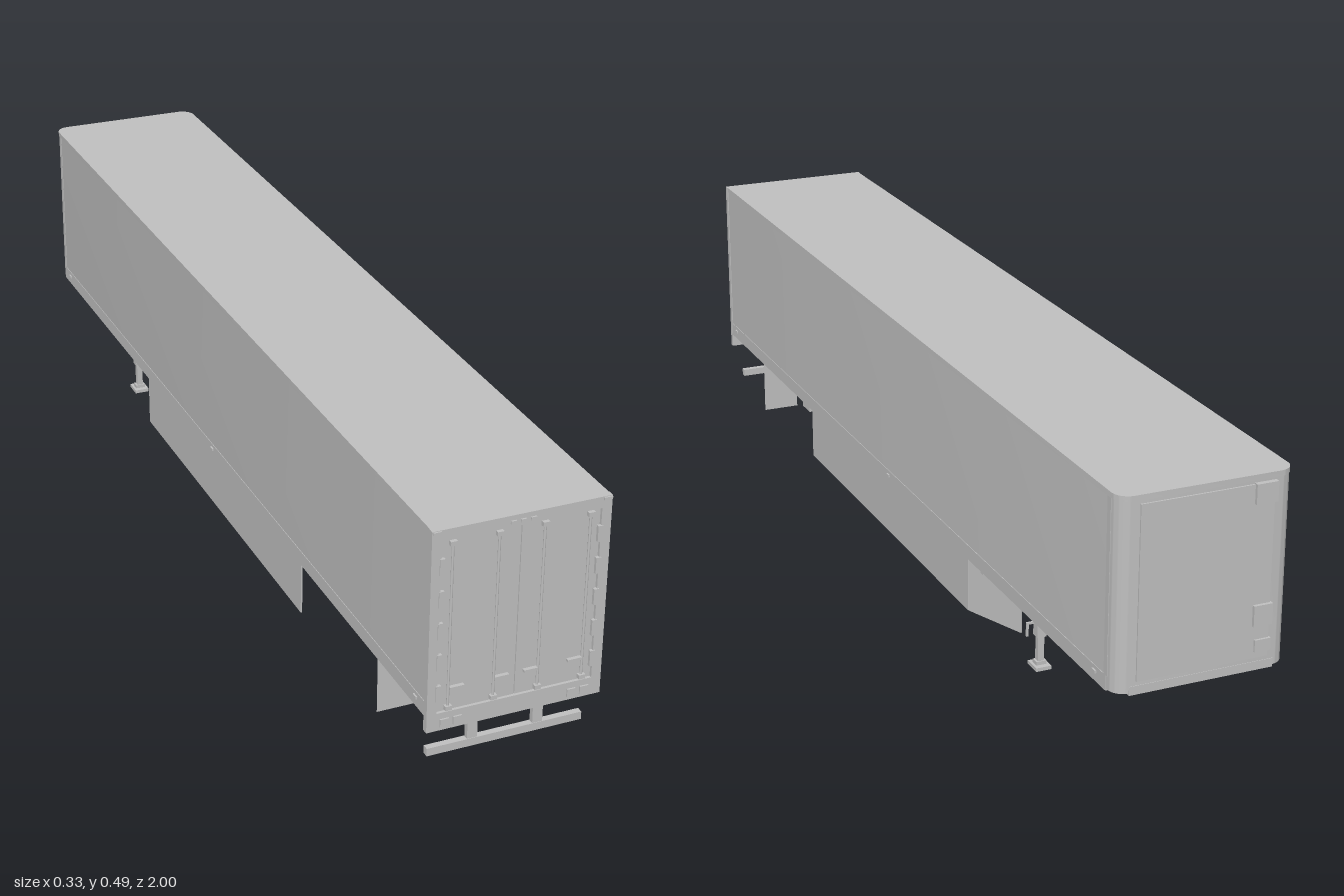
import * as THREE from 'three';
import { toCreasedNormals } from 'three/addons/utils/BufferGeometryUtils.js';

const grey = new THREE.MeshStandardMaterial({ color: 0xc0c0c0 });
grey.name = 'grey';
const sheet = new THREE.MeshStandardMaterial({ color: 0xc0c0c0, side: THREE.DoubleSide });
sheet.name = 'grey sheet';

export function createModel() {
  const model = new THREE.Group();
  model.name = 'boxTrailer';

  const add = (name, geometry, material = grey) => {
    const mesh = new THREE.Mesh(geometry, material);
    mesh.name = name;
    model.add(mesh);
    return mesh;
  };
  // Box given by its limits on each axis
  const box = (name, x0, x1, y0, y1, z0, z1) => {
    const mesh = add(name, new THREE.BoxGeometry(x1 - x0, y1 - y0, z1 - z0));
    mesh.position.set((x0 + x1) / 2, (y0 + y1) / 2, (z0 + z1) / 2);
    return mesh;
  };
  // The same box on both sides
  const pair = (name, x0, x1, ...rest) => {
    box(name + 'Left', x0, x1, ...rest);
    box(name + 'Right', -x1, -x0, ...rest);
  };
  const cylinder = (name, r, h, x, y, z, sides = 12) => {
    const mesh = add(name, new THREE.CylinderGeometry(r, r, h, sides));
    mesh.position.set(x, y, z);
    return mesh;
  };

  // Plan outline with rounded corners at the -z end, extruded upwards
  const slab = (name, w, y0, y1, zRear, zNose, r) => {
    const s = new THREE.Shape();
    s.moveTo(-w, -zRear);
    s.lineTo(w, -zRear);
    s.lineTo(w, -zNose - r);
    s.absarc(w - r, -zNose - r, r, 0, Math.PI / 2, false);
    s.lineTo(-w + r, -zNose);
    s.absarc(-w + r, -zNose - r, r, Math.PI / 2, Math.PI, false);
    const g = new THREE.ExtrudeGeometry(s, { depth: y1 - y0, bevelEnabled: false, curveSegments: 8 });
    g.rotateX(-Math.PI / 2).translate(0, y0, 0);
    add(name, toCreasedNormals(g, 0.5));
  };
  slab('cargoBody', 0.16, 0.138, 0.485, 0.988, -0.991, 0.027);
  slab('roofRail', 0.161, 0.478, 0.488, 0.99, -0.992, 0.028);
  pair('bottomRail', 0.152, 0.161, 0.134, 0.162, -0.96, 0.988);
  box('noseSill', -0.134, 0.134, 0.134, 0.15, -0.992, -0.975);
  pair('noseTrim', 0.158, 0.161, 0.162, 0.478, -0.964, -0.952);

  // Rear frame around the doors
  const frame = new THREE.Shape();
  frame.moveTo(-0.162, 0.107).lineTo(0.162, 0.107).lineTo(0.162, 0.488).lineTo(-0.162, 0.488);
  const opening = new THREE.Path();
  opening.moveTo(-0.144, 0.141).lineTo(-0.144, 0.467).lineTo(0.144, 0.467).lineTo(0.144, 0.141);
  frame.holes.push(opening);
  add('rearFrame', new THREE.ExtrudeGeometry(frame, { depth: 0.012, bevelEnabled: false }))
    .position.z = 0.983;

  // Doors, lock rods, handles and hinges
  pair('door', 0.0008, 0.143, 0.142, 0.466, 0.986, 0.991);
  for (const x of [-0.124, -0.041, 0.041, 0.124]) {
    cylinder('lockRod', 0.0025, 0.315, x, 0.305, 0.994, 8);
    for (const y of [0.149, 0.461]) box('rodKeeper', x - 0.006, x + 0.006, y - 0.004, y + 0.004, 0.99, 0.999);
  }
  pair('outerHandle', 0.096, 0.122, 0.183, 0.188, 0.99, 0.998);
  pair('innerHandle', 0.014, 0.04, 0.183, 0.188, 0.99, 0.998);
  for (let i = 0; i < 5; i++) {
    const y = 0.165 + i * 0.06;
    pair('hinge', 0.138, 0.147, y, y + 0.03, 0.99, 0.997);
  }

  // Lamps and markers
  pair('outerTailLamp', 0.122, 0.138, 0.114, 0.129, 0.994, 0.998);
  pair('innerTailLamp', 0.098, 0.114, 0.114, 0.129, 0.994, 0.998);
  pair('cornerLamp', 0.146, 0.161, 0.482, 0.487, 0.994, 0.998);
  for (const x of [-0.018, 0, 0.018]) box('topLamp', x - 0.005, x + 0.005, 0.473, 0.479, 0.994, 0.998);
  for (const z of [-0.92, 0, 0.95]) pair('sideMarker', 0.16, 0.164, 0.15, 0.155, z - 0.006, z + 0.006);

  // Nose panel and service boxes
  box('nosePanel', -0.122, 0.122, 0.158, 0.472, -0.994, -0.99);
  box('upperServiceBox', -0.125, -0.085, 0.438, 0.474, -1, -0.99);
  box('middleServiceBox', -0.125, -0.09, 0.218, 0.256, -1, -0.99);
  box('lowerServiceBox', -0.125, -0.095, 0.17, 0.192, -0.998, -0.99);

  // Chassis rails with flanges, crossmembers and outriggers
  pair('railWeb', 0.073, 0.077, 0.11, 0.138, -0.78, 0.78);
  pair('railFlange', 0.066, 0.084, 0.107, 0.111, -0.78, 0.78);
  for (let i = 0; i < 9; i++) {
    const z = -0.44 + i * 0.105;
    pair('outrigger', 0.077, 0.153, 0.122, 0.138, z - 0.005, z + 0.005);
  }
  for (const z of [-0.77, -0.6, 0.52, 0.58, 0.73]) box('crossmember', -0.15, 0.15, 0.122, 0.138, z - 0.006, z + 0.006);
  for (const z of [0.86, 0.95]) box('rearCrossmember', -0.15, 0.15, 0.128, 0.138, z - 0.006, z + 0.006);
  cylinder('kingpin', 0.009, 0.018, 0, 0.132, -0.88);

  // Side skirts, turning inwards towards the nose
  for (const side of [-1, 1]) {
    const plan = [[0.157, 0.45], [0.157, -0.39], [0.107, -0.515]];
    for (let i = 0; i < 2; i++) {
      const [xa, za] = plan[i], [xb, zb] = plan[i + 1];
      const panel = add(i ? 'skirtNose' : 'skirtPanel',
        new THREE.BoxGeometry(0.003, 0.11, Math.hypot(xb - xa, zb - za)));
      panel.position.set(side * (xa + xb) / 2, 0.083, (za + zb) / 2);
      panel.rotation.y = Math.atan2(side * (xa - xb), za - zb);
    }
  }

  // Suspension hangers and hooked brackets
  for (const z of [0.73, 0.575]) {
    pair('hanger', 0.077, 0.09, 0.058, 0.11, z - 0.014, z + 0.014);
    pair('bracketPost', 0.077, 0.09, 0.045, 0.11, z - 0.068, z - 0.056);
    pair('bracketFoot', 0.077, 0.09, 0.043, 0.053, z - 0.068, z - 0.025);
    box('hangerBrace', -0.078, 0.078, 0.092, 0.106, z - 0.006, z + 0.006);
  }

  // Mudflaps
  for (const side of [-1, 1]) {
    const flap = add('mudflap', new THREE.PlaneGeometry(0.077, 0.122), sheet);
    flap.position.set(side * 0.1155, 0.076, 0.783);
  }

  // Rear underrun bar
  box('underrunBar', -0.146, 0.146, 0.039, 0.054, 0.955, 0.967);
  pair('underrunPost', 0.052, 0.071, 0.05, 0.138, 0.956, 0.966);

  // Landing gear
  for (const side of [-1, 1]) {
    const x = side * 0.11;
    box('legHousing', x - 0.009, x + 0.009, 0.062, 0.138, -0.609, -0.591);
    box('legInner', x - 0.006, x + 0.006, 0.006, 0.064, -0.606, -0.594);
    box('footCollar', x - 0.01, x + 0.01, 0.006, 0.014, -0.608, -0.592);
    box('foot', x - 0.015, x + 0.015, 0, 0.007, -0.618, -0.582);
    box('legBracket', x - 0.013, x + 0.013, 0.105, 0.138, -0.622, -0.607);
  }
  cylinder('gearShaft', 0.003, 0.22, 0, 0.09, -0.6, 8).rotation.z = Math.PI / 2;
  box('crankArm', 0.119, 0.136, 0.088, 0.092, -0.602, -0.598);
  box('crankHandle', 0.133, 0.137, 0.065, 0.092, -0.602, -0.598);

  return model;
}
